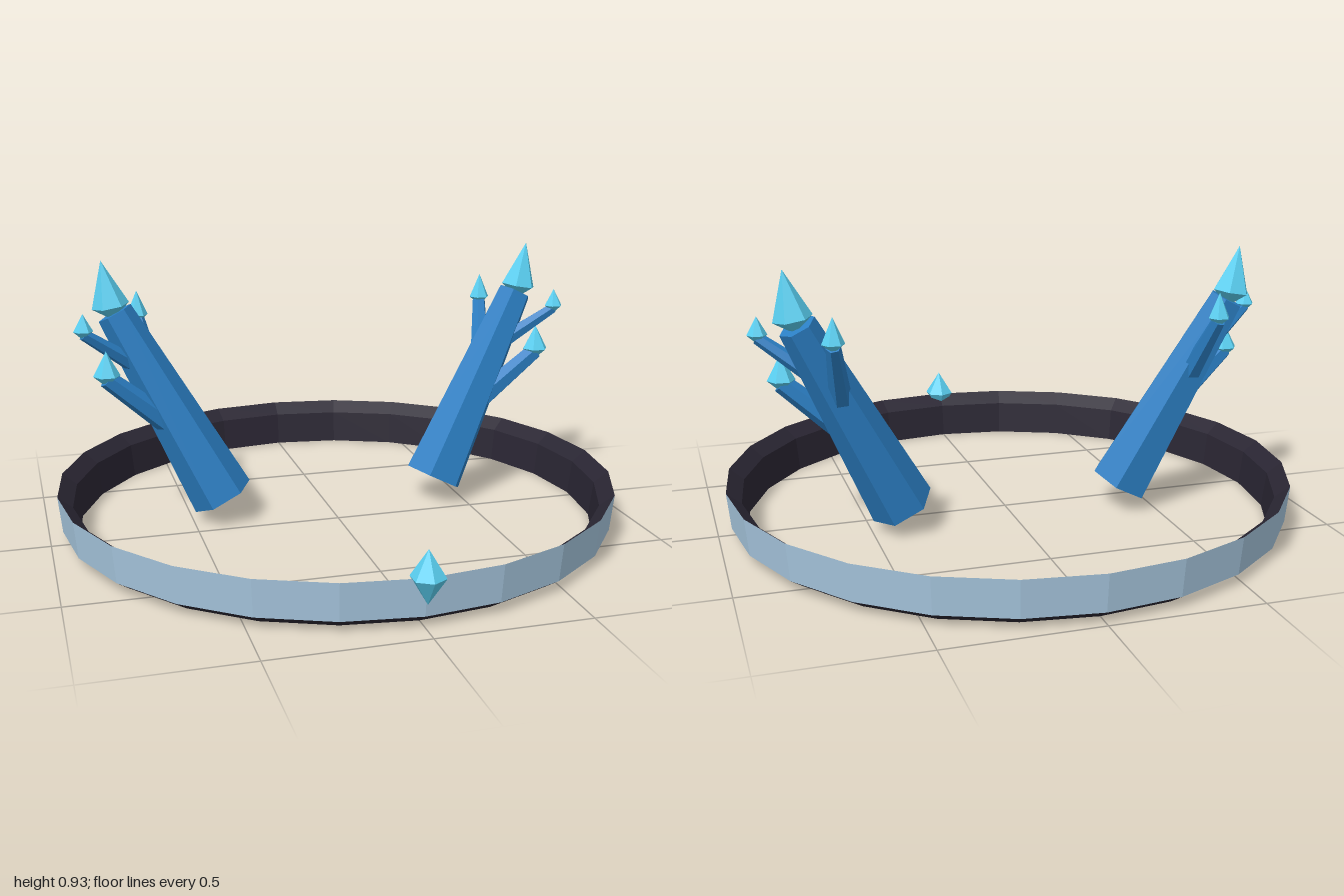
import * as THREE from 'three';

const paint = (color) => new THREE.MeshStandardMaterial({ color, flatShading: true });
const V = (x, y, z) => new THREE.Vector3(x, y, z);
const UP = V(0, 1, 0);

export function createModel() {
  const model = new THREE.Group();
  model.name = 'crown';
  const bandMat = paint(0xa8c8e0);
  const liningMat = paint(0x2a2633);
  const hornMat = paint(0x2b7fc4);
  const gemMat = paint(0x5ad0f2);

  const add = (parent, name, geometry, material) => {
    const mesh = new THREE.Mesh(geometry, material);
    mesh.name = name;
    parent.add(mesh);
    return mesh;
  };
  const lathe = (points, sides, start = 0) =>
    new THREE.LatheGeometry(points.map(([r, y]) => new THREE.Vector2(r, y)), sides, start);

  // Tapered six-sided limb between two points
  const limb = (parent, name, a, b, r0, r1) => {
    const dir = b.clone().sub(a);
    const mesh = add(parent, name, new THREE.CylinderGeometry(r1, r0, dir.length(), 6, 1, false, Math.PI / 6), hornMat);
    mesh.position.copy(a).add(b).multiplyScalar(0.5);
    mesh.quaternion.setFromUnitVectors(UP, dir.normalize());
  };

  // Six-sided crystal: widest at its position, pointed above and below
  const crystal = (parent, name, at, r, up, down, start = Math.PI / 6) => {
    const mesh = add(parent, name, lathe([[0, -down], [r, 0], [0, up]], 6, start), gemMat);
    mesh.position.copy(at);
    return mesh;
  };

  // Headband: pale outer wall, dark bevelled lining and underside
  const ring = new THREE.Group();
  ring.name = 'headband';
  ring.position.z = -0.03;
  model.add(ring);
  add(ring, 'outerBand', lathe([[0.957, 0.035], [0.97, 0.16]], 24), bandMat);
  add(ring, 'lining', lathe([[0.97, 0.16], [0.92, 0.12], [0.905, 0], [0.957, 0.035]], 24), liningMat);

  // Front gem
  crystal(model, 'frontGem', V(0, 0.165, 0.945), 0.055, 0.085, 0.085, 0);

  // Horns, each with three prongs tipped by crystals
  const prongs = [
    { name: 'lowerProng', from: [0.53, 0.325, -0.13], to: [0.78, 0.54, -0.1], r0: 0.045, r1: 0.032, gem: 0.046, up: 0.085, down: 0.04 },
    { name: 'outerProng', from: [0.66, 0.555, -0.17], to: [0.85, 0.695, -0.108], r0: 0.032, r1: 0.02, gem: 0.033, up: 0.06, down: 0.03 },
    { name: 'backProng', from: [0.6, 0.46, -0.18], to: [0.645, 0.7, -0.325], r0: 0.04, r1: 0.024, gem: 0.037, up: 0.085, down: 0.03 },
  ];
  for (const [side, s] of [['left', 1], ['right', -1]]) {
    const horn = new THREE.Group();
    horn.name = `${side}Horn`;
    model.add(horn);
    const at = ([x, y, z]) => V(s * x, y, z);
    limb(horn, 'hornShaft', at([0.395, 0.085, -0.105]), at([0.735, 0.745, -0.198]), 0.11, 0.062);
    const tip = crystal(horn, 'hornCrystal', at([0.748, 0.77, -0.2]), 0.064, 0.158, 0.05);
    tip.rotation.z = -s * 0.17;
    for (const p of prongs) {
      limb(horn, p.name, at(p.from), at(p.to), p.r0, p.r1);
      crystal(horn, `${p.name}Crystal`, at(p.to).add(V(0, 0.01, 0)), p.gem, p.up, p.down);
    }
  }
  return model;
}
